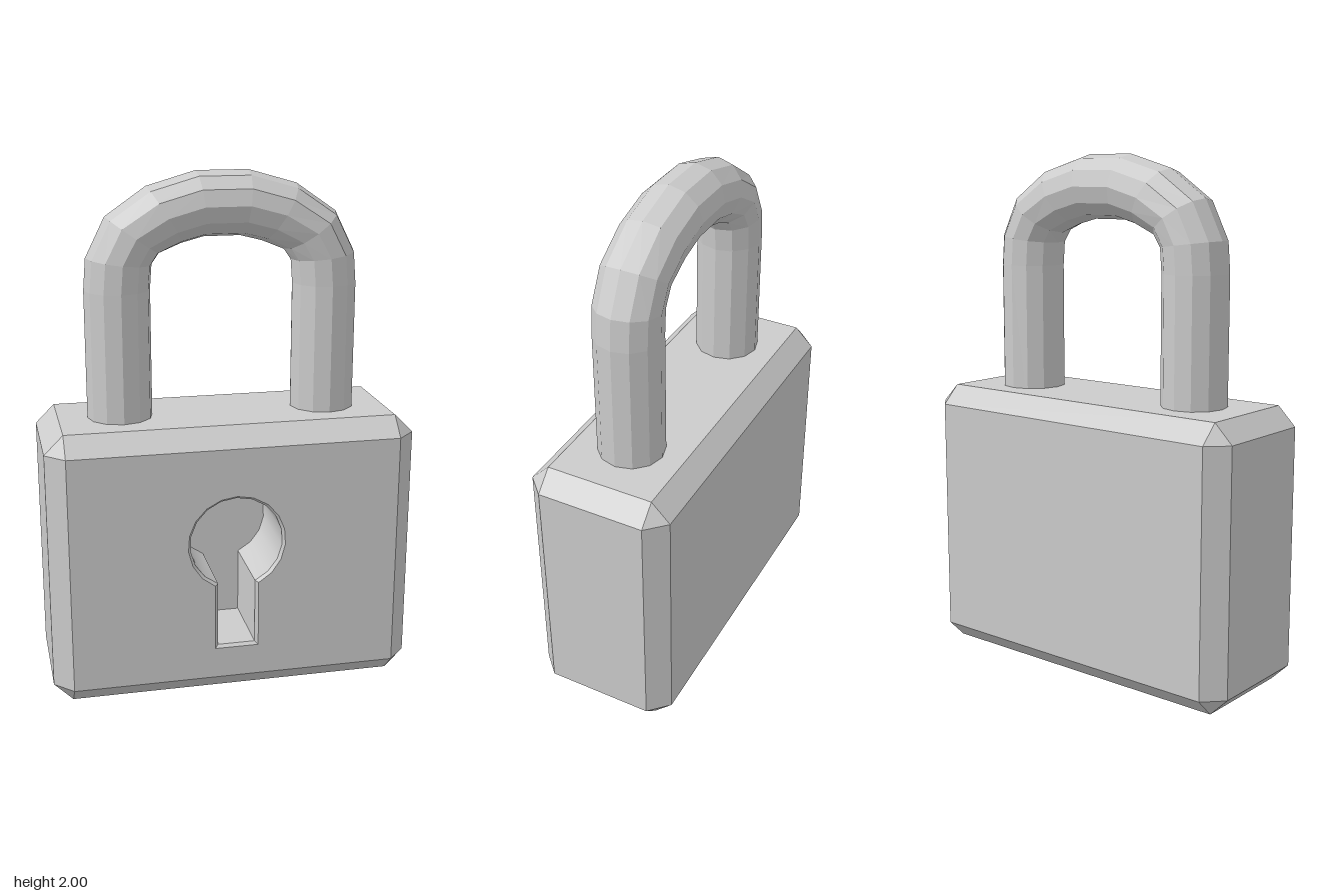
import * as THREE from 'three';
import { toCreasedNormals } from 'three/addons/utils/BufferGeometryUtils.js';

const HALF = [0.71, 0.54, 0.283]; // body half sizes
const CHAMFER = 0.073;

function geometryFrom(triangles) {
  const geometry = new THREE.BufferGeometry().setFromPoints(triangles);
  geometry.computeVertexNormals();
  return geometry;
}

// Chamfered block: faces, edge strips and corner triangles, with the front left open
function chamferedBlock() {
  const tris = [];
  // Corner point lying on the face of the given axis
  const point = (signs, axis) => new THREE.Vector3(
    ...signs.map((s, i) => s * (HALF[i] - (i === axis ? 0 : CHAMFER))));
  const triangle = (a, b, c) => {
    const normal = b.clone().sub(a).cross(c.clone().sub(a));
    const outward = normal.dot(a.clone().add(b).add(c)) > 0;
    tris.push(a, ...(outward ? [b, c] : [c, b]));
  };
  const quad = (a, b, c, d) => { triangle(a, b, c); triangle(a, c, d); };
  const signsOf = (...pairs) => {
    const signs = [0, 0, 0];
    pairs.forEach(([axis, s]) => { signs[axis] = s; });
    return signs;
  };

  for (let a = 0; a < 3; a++) {
    const b = (a + 1) % 3, c = (a + 2) % 3;
    for (const s of [-1, 1]) {
      // Large flat face
      if (!(a === 2 && s === 1)) {
        quad(...[[-1, -1], [1, -1], [1, 1], [-1, 1]].map(([u, v]) =>
          point(signsOf([a, s], [b, u], [c, v]), a)));
      }
      // Edge chamfers between axes a and b
      for (const t of [-1, 1]) {
        const lo = signsOf([a, s], [b, t], [c, -1]);
        const hi = signsOf([a, s], [b, t], [c, 1]);
        quad(point(lo, a), point(hi, a), point(hi, b), point(lo, b));
      }
    }
  }
  // Corner triangles
  for (const x of [-1, 1]) for (const y of [-1, 1]) for (const z of [-1, 1]) {
    triangle(...[0, 1, 2].map((axis) => point([x, y, z], axis)));
  }
  return geometryFrom(tris).translate(0, HALF[1], 0);
}

// Keyhole outline, counterclockwise: round top and straight slot
function keyholeOutline(radius, halfWidth, bottom) {
  const points = [new THREE.Vector2(-halfWidth, bottom), new THREE.Vector2(halfWidth, bottom)];
  const gap = Math.asin(halfWidth / radius);
  const segments = 16;
  for (let i = 0; i <= segments; i++) {
    const angle = -Math.PI / 2 + gap + (i / segments) * (2 * Math.PI - 2 * gap);
    points.push(new THREE.Vector2(radius * Math.cos(angle), 0.63 + radius * Math.sin(angle)));
  }
  return points;
}

// Inward-facing band between two matching outlines
function band(front, zFront, back, zBack) {
  const tris = [];
  const at = (p, z) => new THREE.Vector3(p.x, p.y, z);
  front.forEach((p, i) => {
    const j = (i + 1) % front.length;
    const a = at(p, zFront), b = at(front[j], zFront);
    const c = at(back[j], zBack), d = at(back[i], zBack);
    tris.push(a, b, c, a, c, d);
  });
  return toCreasedNormals(geometryFrom(tris), 0.5);
}

// Shackle: twelve-sided rings spanning paired outer and inner points of the bend
function shackleGeometry() {
  const half = [ // outer x, y, inner x, y
    [0.525, 1.0, 0.275, 1.0], [0.525, 1.57, 0.275, 1.57], [0.515, 1.69, 0.268, 1.66],
    [0.44, 1.84, 0.24, 1.70], [0.285, 1.947, 0.155, 1.735], [0.10, 2.0, 0.07, 1.757],
  ];
  const mirrored = half.map(([ox, oy, ix, iy]) => [-ox, oy, -ix, iy]).reverse();
  const sides = 12;
  const rings = [...half, ...mirrored].map(([ox, oy, ix, iy]) =>
    Array.from({ length: sides }, (_, k) => {
      const angle = (k / sides) * 2 * Math.PI;
      const c = Math.cos(angle) / 2;
      return new THREE.Vector3(
        (ox + ix) / 2 + (ox - ix) * c,
        (oy + iy) / 2 + (oy - iy) * c,
        0.126 * Math.sin(angle));
    }));
  const tris = [];
  for (let r = 0; r < rings.length - 1; r++) {
    for (let k = 0; k < sides; k++) {
      const n = (k + 1) % sides;
      const a = rings[r][k], b = rings[r + 1][k], c = rings[r + 1][n], d = rings[r][n];
      tris.push(a, b, c, a, c, d);
    }
  }
  return geometryFrom(tris);
}

export function createModel() {
  const group = new THREE.Group();
  group.name = 'padlock';
  const material = new THREE.MeshStandardMaterial({ color: 0xcccccc });
  const flat = new THREE.MeshStandardMaterial({ color: 0xcccccc, flatShading: true });
  const add = (name, geometry, mat = material, z = 0) => {
    const mesh = new THREE.Mesh(geometry, mat);
    mesh.name = name;
    mesh.position.z = z;
    group.add(mesh);
  };

  add('body', chamferedBlock(), flat);

  // Front plate with the keyhole cut out
  const outer = keyholeOutline(0.19, 0.085, 0.196);
  const inner = keyholeOutline(0.18, 0.073, 0.207);
  const w = HALF[0] - CHAMFER, bottom = CHAMFER, top = 2 * HALF[1] - CHAMFER;
  const plate = new THREE.Shape([[-w, bottom], [w, bottom], [w, top], [-w, top]]
    .map(([x, y]) => new THREE.Vector2(x, y)));
  plate.holes.push(new THREE.Path(outer));
  const front = HALF[2], floor = front - 0.31;
  add('bodyFront', new THREE.ShapeGeometry(plate), material, front);

  // Recessed keyhole
  add('keyholeBevel', band(outer, front, inner, front - 0.012));
  add('keyholeWall', band(inner, front - 0.012, inner, floor));
  add('keyholeFloor', new THREE.ShapeGeometry(new THREE.Shape(inner)), material, floor);

  add('shackle', shackleGeometry(), flat);
  return group;
}
